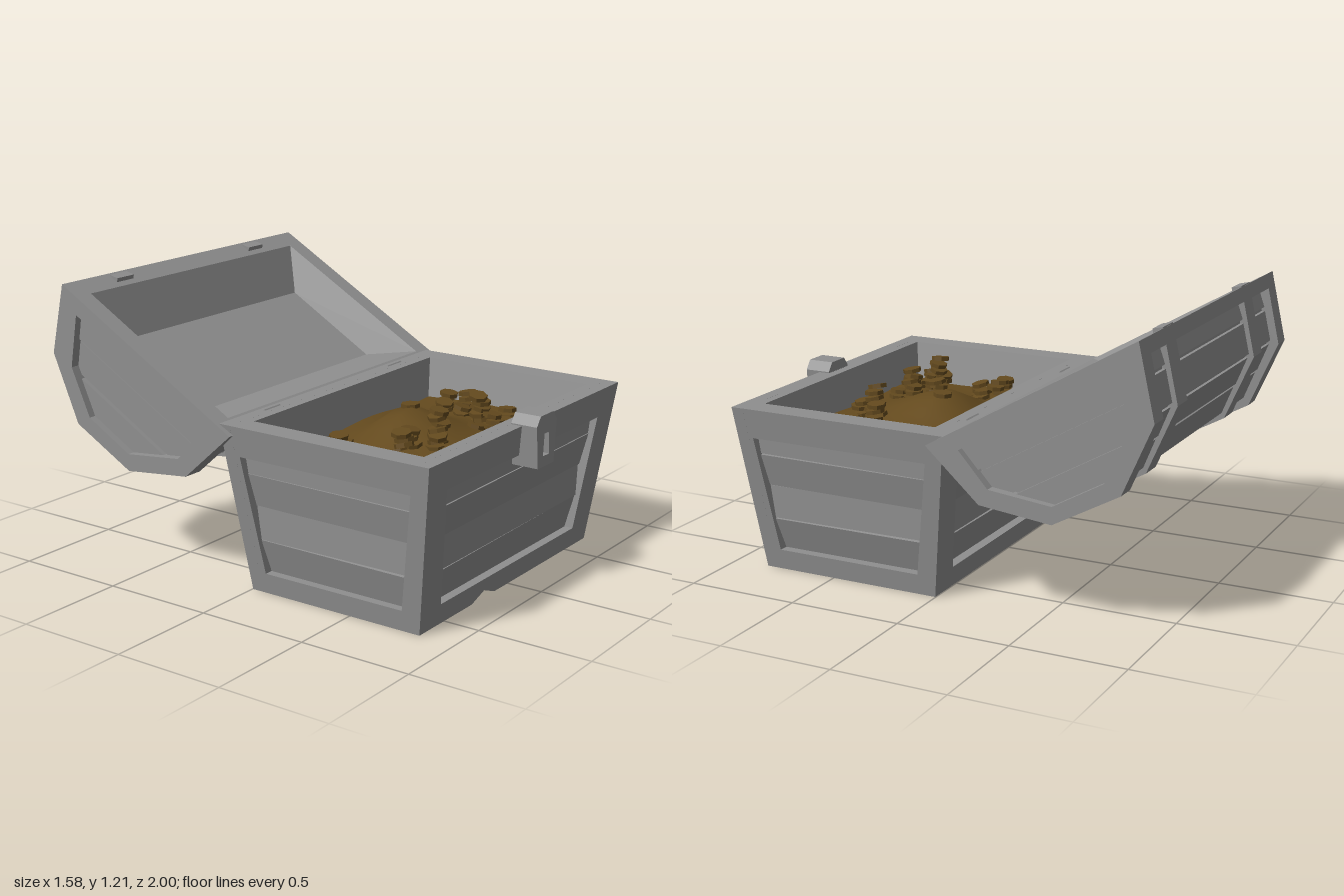
import * as THREE from 'three';

const V = (x, y, z) => new THREE.Vector3(x, y, z);
const X = V(1, 0, 0), Y = V(0, 1, 0), Z = V(0, 0, 1);
const shapeOf = (pts) => new THREE.Shape(pts.map(([a, b]) => new THREE.Vector2(a, b)));

export function createModel() {
  const grey = new THREE.MeshStandardMaterial({ color: 0x8f8f8f });
  grey.name = 'grey wood and iron';
  const gold = new THREE.MeshStandardMaterial({ color: 0x644a1e });
  gold.name = 'dull gold';

  const model = new THREE.Group();
  model.name = 'treasureChest';
  const groups = {};
  for (const n of ['base', 'lid', 'treasure']) {
    groups[n] = new THREE.Group();
    groups[n].name = n;
    model.add(groups[n]);
  }
  const { base, lid, treasure } = groups;
  const add = (parent, name, geo, mat = grey) => {
    const m = new THREE.Mesh(geo, mat);
    m.name = name;
    parent.add(m);
    return m;
  };

  let seed = 7;
  const rnd = () => (seed = (seed * 16807) % 2147483647) / 2147483647;
  const jitter = (a) => (rnd() * 2 - 1) * a;

  const extrude = (pts, depth, hole) => {
    const s = shapeOf(pts);
    if (hole) s.holes.push(shapeOf(hole));
    return new THREE.ExtrudeGeometry(s, { depth, bevelEnabled: false });
  };

  // Surface through four-cornered rings, flat shaded
  const loft = (rings, capStart, capEnd) => {
    const pos = [];
    const quad = (a, b, c, d) => [a, b, c, a, c, d].forEach((p) => pos.push(...p));
    for (let i = 0; i + 1 < rings.length; i++)
      for (let j = 0; j < 4; j++) {
        const k = (j + 1) % 4;
        quad(rings[i][j], rings[i][k], rings[i + 1][k], rings[i + 1][j]);
      }
    if (capStart) quad(...[...rings[0]].reverse());
    if (capEnd) quad(...rings[rings.length - 1]);
    const g = new THREE.BufferGeometry();
    g.setAttribute('position', new THREE.Float32BufferAttribute(pos, 3));
    g.computeVertexNormals();
    return g;
  };
  const rect = (hx, z0, z1, y) => [[-hx, y, z1], [hx, y, z1], [hx, y, z0], [-hx, y, z0]];

  // ---- Base: hollow tapered core, with a sheared frame on each side ----
  const H = 0.73, T = 0.055, CZ = 0.42;
  add(base, 'baseCore', loft([
    rect(0.68 - T, T, 0.835 - T, 0),
    rect(0.77 - T, -0.09 + T, 0.93 - T, H),
    rect(0.66, 0.005, 0.835, H),
    rect(0.61, 0.03, 0.8, 0.5),
  ], true, false));

  const sides = [
    { name: 'front', right: X, out: Z, lean: 0.127, off: 0.4175, bot: 0.68, top: 0.77, hb: 0.545, ht: 0.615 },
    { name: 'back', right: X.clone().negate(), out: Z.clone().negate(), lean: 0.127, off: 0.4175, bot: 0.68, top: 0.77, hb: 0.545, ht: 0.615 },
    { name: 'left', right: Z.clone().negate(), out: X, lean: 0.123, off: 0.68, bot: 0.4175, top: 0.51, hb: 0.34, ht: 0.417 },
    { name: 'right', right: Z, out: X.clone().negate(), lean: 0.123, off: 0.68, bot: 0.4175, top: 0.51, hb: 0.34, ht: 0.417 },
  ];
  const rows = [[0.07, 0.235, 0.14], [0.235, 0.38, -0.13], [0.38, 0.52, 0.1], [0.52, 0.63, -0.08]];
  for (const s of sides) {
    const up = Y.clone().addScaledVector(s.out, s.lean);
    const m = new THREE.Matrix4().makeBasis(s.right, up, s.out)
      .setPosition(V(0, 0, CZ).addScaledVector(s.out, s.off));
    const chip = s.name === 'front' ? [[-0.29, 0], [-0.2, 0.035], [-0.11, 0]] : [];
    const outline = [[-s.bot, 0], ...chip, [s.bot, 0], [s.top, H], [-s.top, H]];
    const hole = [[-s.hb, 0.09], [s.hb, 0.09], [s.ht, 0.6], [-s.ht, 0.6]];
    add(base, s.name + 'Frame', extrude(outline, T, hole).translate(0, 0, -T).applyMatrix4(m));
    // uneven planks inside the frame
    for (const [y0, y1, tilt] of rows) {
      const y = (y0 + y1) / 2;
      const w = s.hb + ((s.ht - s.hb) * (y - 0.09)) / 0.51 + 0.02;
      const g = new THREE.BoxGeometry(2 * w, y1 - y0, 0.03)
        .rotateX(tilt + jitter(0.04)).rotateZ(jitter(0.012))
        .translate(0, y, -0.048 + jitter(0.003)).applyMatrix4(m);
      add(base, s.name + 'Plank', g);
    }
  }

  // ---- Lock: body and a face plate with a keyhole ----
  const lockOutline = [[-0.065, 0.555], [0.065, 0.555], [0.082, 0.735], [0.052, 0.775], [-0.052, 0.775], [-0.082, 0.735]];
  add(base, 'lockBody', extrude(lockOutline, 0.09).translate(0, 0, 0.88));
  add(base, 'lockPlate', extrude(lockOutline, 0.03,
    [[-0.025, 0.6], [0.025, 0.6], [0.017, 0.695], [-0.017, 0.695]]).translate(0, 0, 0.97));

  // ---- Lid: profiles are [z, y], extruded across x ----
  const slab = (name, pts, x0, x1, hole) => add(lid, name, extrude(pts, x1 - x0, hole)
    .applyMatrix4(new THREE.Matrix4().makeBasis(Z, Y, X.clone().negate()).setPosition(x1, 0, 0)));
  const P = [[-0.93, 1.21], [-1, 0.9], [-0.87, 0.6], [-0.58, 0.44], [-0.26, 0.475], [-0.02, 0.69]];
  const lerp = (a, b, t) => [a[0] + (b[0] - a[0]) * t, a[1] + (b[1] - a[1]) * t];
  const normal = (i) => {
    const [a, b] = [P[i], P[i + 1]];
    const l = Math.hypot(b[0] - a[0], b[1] - a[1]);
    return [-(b[1] - a[1]) / l, (b[0] - a[0]) / l];
  };
  // Curved side of the lid moved inward by d
  const chain = (d) => P.map((p, i) => {
    const n = normal(Math.max(i - 1, 0)), m = normal(Math.min(i, P.length - 2));
    const k = d / (1 + n[0] * m[0] + n[1] * m[1]);
    return [p[0] + (n[0] + m[0]) * k, p[1] + (n[1] + m[1]) * k];
  });

  const c50 = chain(0.05);
  slab('lidShell', [
    P[0], lerp(P[0], P[1], 0.2), lerp(c50[0], c50[1], 0.2), ...c50.slice(1, 5),
    lerp(c50[4], c50[5], 0.8), lerp(P[4], P[5], 0.8), P[5],
    [-0.1, 0.736], [-0.36, 0.68], [-0.79, 0.93], [-0.85, 1.164],
  ], -0.7, 0.7);
  const ring = (hx, a, b) => [[-hx, a[1], a[0]], [hx, a[1], a[0]], [hx, b[1], b[0]], [-hx, b[1], b[0]]];
  add(lid, 'lidCavity', loft([
    ring(0.7, [-0.1, 0.736], [-0.85, 1.164]),
    ring(0.63, [-0.34, 0.7], [-0.77, 0.95]),
  ], false, true));

  // long planks around the curve
  const outer = chain(0.035), inner = chain(0.06);
  for (let i = 0; i < 5; i++)
    for (let k = 0; k < 2; k++) {
      const lo = i === 0 && k === 0 ? 0.22 : k * 0.5 + 0.03;
      const hi = i === 4 && k === 1 ? 0.78 : k * 0.5 + 0.47;
      const d = 0.4 * rnd();
      slab('lidPlank', [
        lerp(lerp(outer[i], outer[i + 1], lo), lerp(inner[i], inner[i + 1], lo), d),
        lerp(outer[i], outer[i + 1], hi),
        lerp(inner[i], inner[i + 1], hi), lerp(inner[i], inner[i + 1], lo),
      ], -0.7, 0.7);
    }

  // straps, end frames and end planks, mirrored
  const strap = [...chain(0.015), ...chain(0.06).reverse()];
  const endHole = [[-0.17, 0.69], [-0.855, 1.085], [-0.895, 0.85], [-0.8, 0.64], [-0.58, 0.515], [-0.3, 0.545]];
  // u runs from the hinge along the opening, s runs into the lid
  const us = ([u, s]) => [-0.02 - 0.868 * u - 0.496 * s, 0.69 + 0.496 * u - 0.868 * s];
  const endRows = [
    [[0.05, 0.03], [1, 0.03], [0.97, 0.18], [0.07, 0.18]],
    [[0.08, 0.19], [0.97, 0.19], [0.92, 0.32], [0.13, 0.32]],
    [[0.15, 0.33], [0.9, 0.33], [0.73, 0.47], [0.33, 0.47]],
  ];
  for (const side of [-1, 1]) {
    const span = (a, b) => (side > 0 ? [a, b] : [-b, -a]);
    slab('lidStrap', strap, ...span(0.405, 0.51));
    slab('lidEndFrame', P, ...span(0.7, 0.79), endHole);
    slab('lidEndPanel', endHole, ...span(0.69, 0.735));
    endRows.forEach((r, i) => slab('lidEndPlank', r.map(us), ...span(0.705, 0.757 - 0.008 * (i % 2))));
  }

  // ---- Treasure: mound of gold with loose stacks of coins ----
  const moundY = (x, z) => {
    const dz = (z - 0.32) / (z > 0.32 ? 0.3 : 0.15);
    return 0.555 + 0.13 * Math.exp(-((x / 0.26) ** 2) - dz * dz) + 0.008 * Math.sin(9 * x + 7 * z);
  };
  const mound = new THREE.PlaneGeometry(1.25, 0.8, 14, 10).rotateX(-Math.PI / 2).translate(0, 0, 0.415);
  const mp = mound.attributes.position;
  for (let i = 0; i < mp.count; i++) mp.setY(i, moundY(mp.getX(i), mp.getZ(i)));
  mound.computeVertexNormals();
  add(treasure, 'goldMound', mound, gold);

  const coin = new THREE.CylinderGeometry(0.042, 0.042, 0.018, 7).toNonIndexed();
  coin.computeVertexNormals();
  const stacks = [ // x, z, top height
    [-0.52, 0.28, 0.64], [-0.47, 0.39, 0.62], [-0.41, 0.26, 0.66], [-0.38, 0.33, 0.61],
    [-0.23, 0.49, 0.68], [-0.17, 0.58, 0.69], [-0.11, 0.55, 0.75], [-0.2, 0.68, 0.62],
    [-0.42, 0.57, 0.735], [-0.48, 0.65, 0.66], [-0.45, 0.71, 0.6], [0.04, 0.31, 0.7],
    [0.27, 0.51, 0.68], [0.2, 0.56, 0.745], [0.21, 0.63, 0.67], [0.31, 0.62, 0.62],
    [0.54, 0.51, 0.6], [0.36, 0.27, 0.63], [0.42, 0.35, 0.61], [0.49, 0.33, 0.66], [0.47, 0.22, 0.64],
  ];
  for (const [x, z, top] of stacks) {
    for (let y = top - 0.012; y > moundY(x, z) - 0.01; y -= 0.026) {
      const c = add(treasure, 'coin', coin, gold);
      c.position.set(x + jitter(0.012), y, z + jitter(0.012));
      c.rotation.set(jitter(0.2), rnd() * 6.28, jitter(0.2));
    }
  }
  return model;
}
